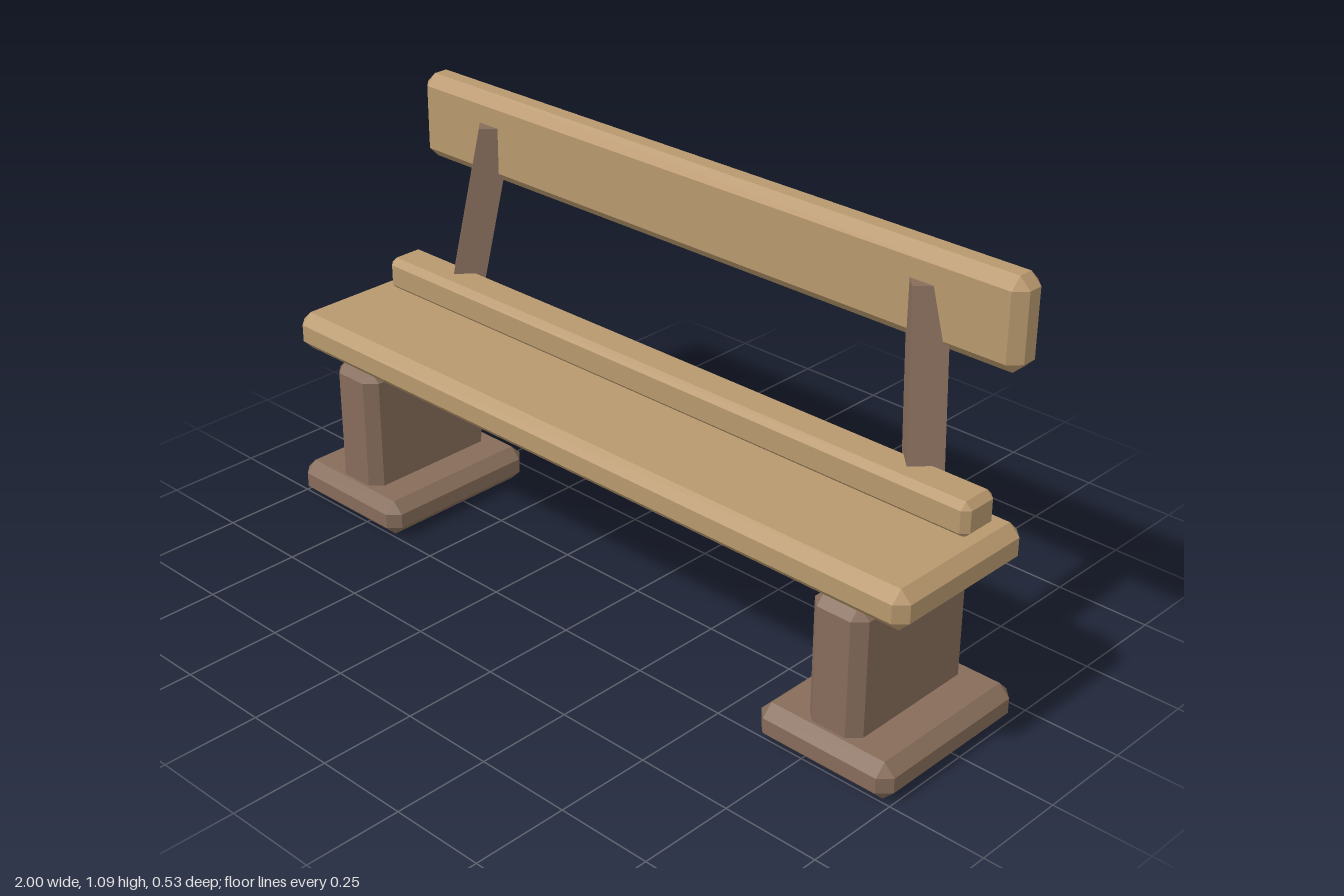
import * as THREE from 'three';
import { ConvexGeometry } from 'three/addons/geometries/ConvexGeometry.js';

const plankMaterial = new THREE.MeshStandardMaterial({ color: 0xb8986e, flatShading: true });
const baseMaterial = new THREE.MeshStandardMaterial({ color: 0x866c5a, flatShading: true });

// Box between two corners with every edge and corner chamfered by c
function chamferBox(name, [x0, x1], [y0, y1], [z0, z1], c, material) {
  const half = [(x1 - x0) / 2, (y1 - y0) / 2, (z1 - z0) / 2];
  const points = [];
  for (const sx of [-1, 1]) for (const sy of [-1, 1]) for (const sz of [-1, 1]) {
    // three points per corner, one on each adjoining face
    for (let face = 0; face < 3; face++) {
      const [x, y, z] = half.map((h, axis) => (axis === face ? h : h - c));
      points.push(new THREE.Vector3(sx * x, sy * y, sz * z));
    }
  }
  const mesh = new THREE.Mesh(new ConvexGeometry(points), material);
  mesh.position.set((x0 + x1) / 2, (y0 + y1) / 2, (z0 + z1) / 2);
  mesh.name = name;
  return mesh;
}

// Diamond-section post, sheared so it leans inward and back with level ends
function leaningPost(name, side) {
  const bottom = 0.48, top = 1.01;
  const geometry = new THREE.CylinderGeometry(0.06, 0.06, top - bottom, 4);
  const p = geometry.attributes.position;
  for (let i = 0; i < p.count; i++) {
    const y = p.getY(i) + (top + bottom) / 2;
    const lean = 0.138 * (y - 0.61);
    p.setXYZ(i, p.getX(i) + side * (0.745 - lean), y, p.getZ(i) - 0.142 - lean);
  }
  geometry.computeVertexNormals();
  const mesh = new THREE.Mesh(geometry, baseMaterial);
  mesh.name = name;
  return mesh;
}

export function createModel() {
  const bench = new THREE.Group();
  bench.name = 'bench';

  // Planks
  bench.add(
    chamferBox('seat', [-1, 1], [0.425, 0.527], [-0.19, 0.247], 0.028, plankMaterial),
    chamferBox('rearRail', [-0.95, 0.95], [0.52, 0.61], [-0.14, -0.03], 0.017, plankMaterial),
    chamferBox('backrest', [-0.95, 0.95], [0.86, 1.087], [-0.265, -0.17], 0.028, plankMaterial),
  );

  // Foot, leg and back post at each end
  for (const [label, side] of [['left', 1], ['right', -1]]) {
    const span = (a, b) => (side > 0 ? [a, b] : [-b, -a]);
    bench.add(
      chamferBox(label + 'Foot', span(0.62, 1), [0, 0.097], [-0.208, 0.267], 0.029, baseMaterial),
      chamferBox(label + 'Leg', span(0.73, 0.882), [0.04, 0.425], [-0.17, 0.23], 0.029, baseMaterial),
      leaningPost(label + 'BackPost', side),
    );
  }
  return bench;
}
